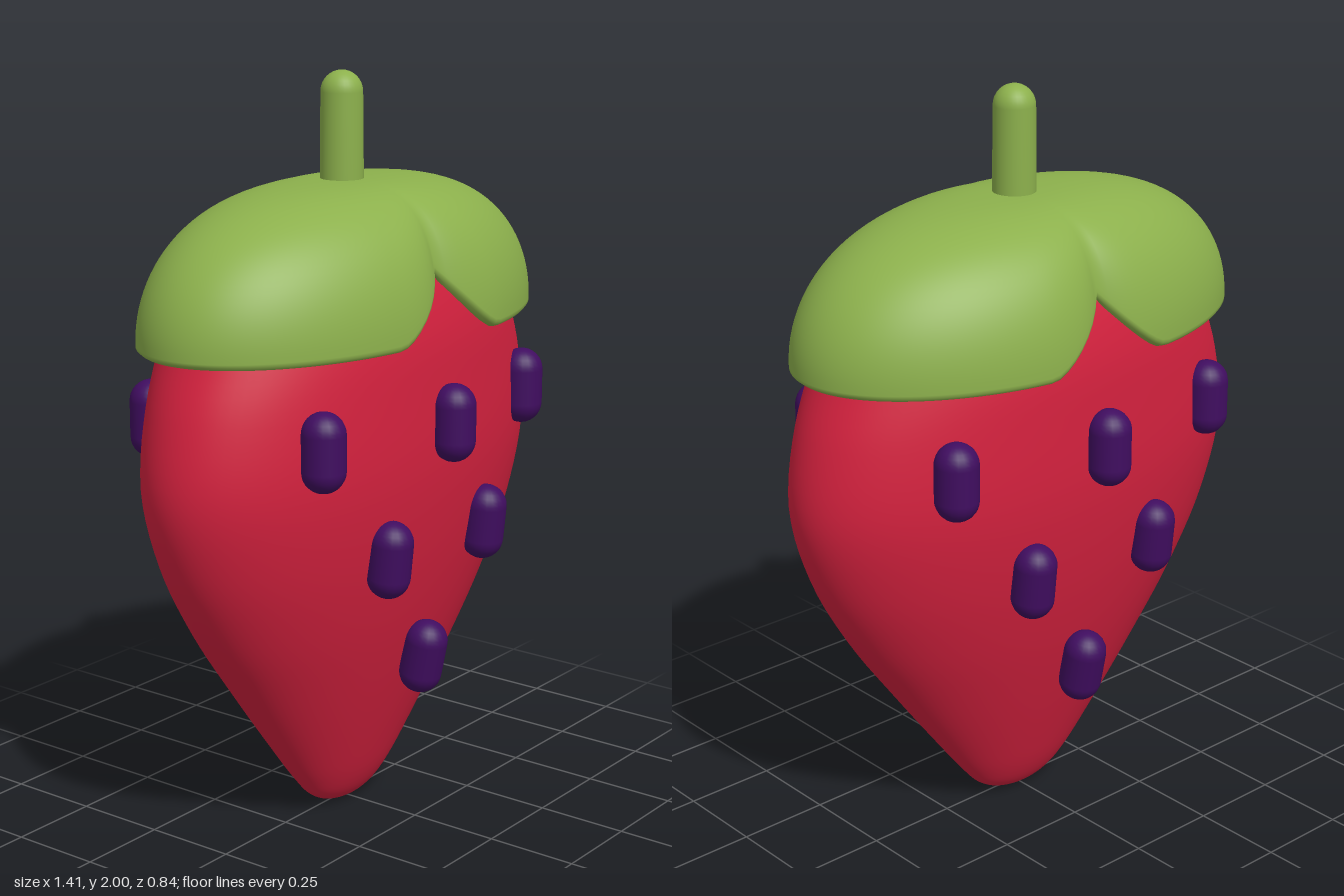
import * as THREE from 'three';

const red = new THREE.MeshStandardMaterial({ color: 0xd4213e });
red.name = 'berry red';
const green = new THREE.MeshStandardMaterial({ color: 0x8cb04c });
green.name = 'leaf green';
const purple = new THREE.MeshStandardMaterial({ color: 0x400d60 });
purple.name = 'seed purple';

// Skin closed rings, listed from top to bottom; point(i, angle) returns [x, y, z]
function loft(rings, segments, point) {
  const positions = [], index = [];
  for (let i = 0; i < rings; i++) {
    for (let j = 0; j < segments; j++) {
      positions.push(...point(i, (j / segments) * Math.PI * 2));
      if (i === rings - 1) continue;
      const a = i * segments + j;
      const b = i * segments + ((j + 1) % segments);
      index.push(a, b, a + segments, b, b + segments, a + segments);
    }
  }
  const geometry = new THREE.BufferGeometry();
  geometry.setAttribute('position', new THREE.Float32BufferAttribute(positions, 3));
  geometry.setIndex(index);
  geometry.computeVertexNormals();
  return geometry;
}

function addMesh(parent, name, geometry, material) {
  const mesh = new THREE.Mesh(geometry, material);
  mesh.name = name;
  parent.add(mesh);
  return mesh;
}

// Flattened berry: half-width, height, half-depth of each elliptical section
function bodyGeometry() {
  const sections = [
    [0.001, 1.66, 0.001], [0.25, 1.65, 0.14], [0.44, 1.6, 0.235], [0.55, 1.5, 0.295],
    [0.61, 1.36, 0.332], [0.675, 1.2, 0.34], [0.705, 1.0, 0.337], [0.655, 0.8, 0.31],
    [0.55, 0.6, 0.265], [0.41, 0.4, 0.205], [0.262, 0.2, 0.135], [0.185, 0.1, 0.095],
    [0.135, 0.045, 0.064], [0.08, 0.015, 0.036], [0.001, 0.004, 0.001],
  ];
  const curve = new THREE.CatmullRomCurve3(sections.map((s) => new THREE.Vector3(...s)));
  const points = curve.getPoints(70);
  return loft(points.length, 96, (i, angle) => {
    const p = points[i];
    return [p.x * Math.cos(angle), Math.max(0, p.y), p.z * Math.sin(angle)];
  });
}

// Domed leaf cap, notched and creased at the middle of front and back
function capGeometry() {
  const domeRings = 28;
  // Rounded lip and inner wall: scale, height offset from the rim
  const lip = [[1.0, -0.008], [0.985, -0.016], [0.955, -0.02], [0.925, -0.013], [0.9, 0.005], [0.86, 0.08]];
  return loft(domeRings + lip.length, 160, (i, angle) => {
    const x = 0.68 * Math.cos(angle);
    const notch = 0.16 * Math.pow(Math.max(0, 1 - Math.abs(x) / 0.2), 1.4);
    const rimAngle = Math.acos(notch / 0.36);
    const t = Math.min(1, i / (domeRings - 1));
    const phi = Math.max(0.001, t * rimAngle);
    const radius = Math.pow(Math.sin(phi), 2 / 3);
    const crease = 1 - 0.18 * radius * radius * Math.exp(-Math.abs(x) / 0.08);
    const lean = 1 + 0.02 * THREE.MathUtils.clamp(x / 0.2, -1, 1);
    const [scale, drop] = i < domeRings ? [1, 0] : lip[i - domeRings];
    return [
      x * radius * scale - 0.008 * radius,
      1.363 + 0.36 * Math.cos(phi) + drop,
      0.383 * Math.sin(angle) * radius * crease * lean * scale,
    ];
  });
}

// Round stalk with a domed tip
function stemGeometry() {
  const profile = [[0.057, 1.66], [0.057, 1.75], [0.055, 1.945]];
  for (let k = 1; k <= 8; k++) {
    const a = (k / 8) * Math.PI / 2;
    profile.push([Math.max(0, 0.055 * Math.cos(a)), 1.945 + 0.055 * Math.sin(a)]);
  }
  return new THREE.LatheGeometry(profile.map((p) => new THREE.Vector2(...p)), 32);
}

export function createModel() {
  const model = new THREE.Group();
  model.name = 'strawberry';

  addMesh(model, 'berryBody', bodyGeometry(), red);
  addMesh(model, 'leafCap', capGeometry(), green);
  addMesh(model, 'stem', stemGeometry(), green);

  // Seeds: x, y, z, lean along the berry slope; repeated on the back
  const seedGeometry = new THREE.CapsuleGeometry(0.057, 0.092, 8, 20);
  const seeds = [
    [-0.44, 1.127, 0.28, 0], [0, 1.125, 0.362, 0], [0.44, 1.127, 0.28, 0],
    [-0.21, 0.8, 0.315, 0.1], [0.215, 0.8, 0.315, 0.1], [0, 0.47, 0.273, 0.2],
  ];
  for (const side of [1, -1]) {
    const group = new THREE.Group();
    group.name = side > 0 ? 'frontSeeds' : 'backSeeds';
    for (const [x, y, z, lean] of seeds) {
      const seed = addMesh(group, 'seed', seedGeometry, purple);
      seed.position.set(x, y, z * side);
      seed.rotation.x = lean * side;
    }
    model.add(group);
  }
  return model;
}
